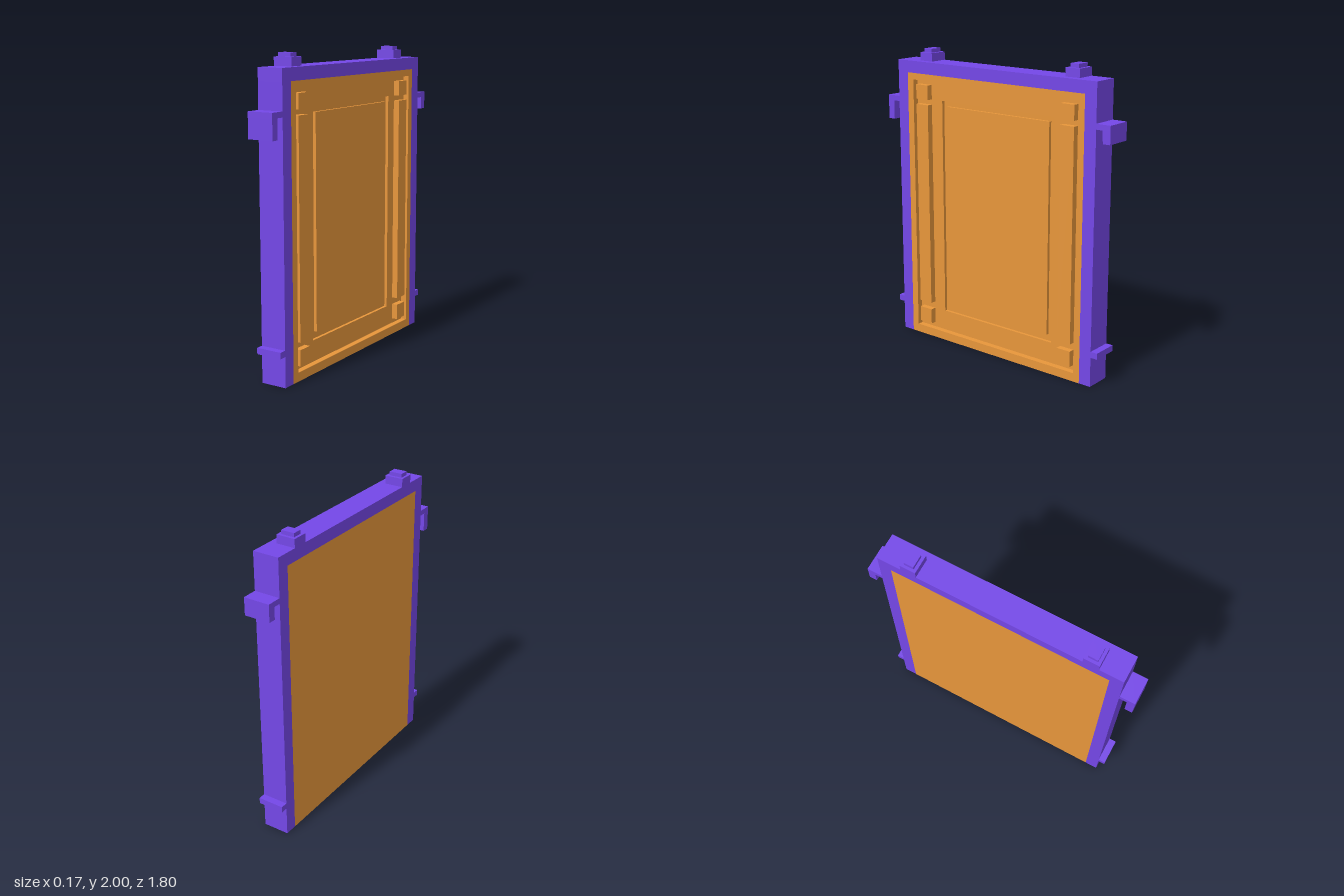
import * as THREE from 'three';

export function createModel() {
  const model = new THREE.Group();
  const purple = new THREE.MeshStandardMaterial({ color: 0x7a4bf2 });
  purple.name = 'purple frame';
  const ochre = new THREE.MeshStandardMaterial({ color: 0xf29d3e });
  ochre.name = 'ochre panel';

  const BACK = -0.0875, FACE = 0.0875; // thickness of the door along x
  const FLOOR = 0.047, GROOVE = 0.027; // recess floor and groove bottom
  const EDGE = 0.716; // half width of the panel

  // Box given by its limits on each axis
  function box(name, mat, [x0, x1], [y0, y1], [z0, z1]) {
    const mesh = new THREE.Mesh(new THREE.BoxGeometry(x1 - x0, y1 - y0, z1 - z0), mat);
    mesh.position.set((x0 + x1) / 2, (y0 + y1) / 2, (z0 + z1) / 2);
    mesh.name = name;
    model.add(mesh);
  }

  // Slab facing +x with a rectangular opening; outlines are y and z limits
  function slabWithOpening(name, mat, [x0, x1], outer, inner) {
    const trace = (path, [y0, y1, z0, z1]) => {
      path.moveTo(-z1, y0);
      path.lineTo(-z0, y0);
      path.lineTo(-z0, y1);
      path.lineTo(-z1, y1);
      path.closePath();
      return path;
    };
    const shape = trace(new THREE.Shape(), outer);
    shape.holes.push(trace(new THREE.Path(), inner));
    const geo = new THREE.ExtrudeGeometry(shape, { depth: x1 - x0, bevelEnabled: false });
    geo.rotateY(Math.PI / 2).translate(x0, 0, 0);
    const mesh = new THREE.Mesh(geo, mat);
    mesh.name = name;
    model.add(mesh);
  }

  // Panel layers: backing, grooved recess floor, raised rim
  const panel = [0, 1.84, -EDGE, EDGE];
  box('panelBacking', ochre, [BACK, GROOVE], [0, 1.84], [-EDGE, EDGE]);
  slabWithOpening('recessFloor', ochre, [GROOVE, FLOOR], panel, [0.197, 1.67, -0.465, 0.447]);
  slabWithOpening('panelRim', ochre, [FLOOR, FACE], panel, [0.057, 1.796, -0.67, 0.667]);
  box('centrePanel', ochre, [GROOVE, FLOOR], [0.243, 1.635], [-0.43, 0.405]);

  // Frame top, open at the bottom
  box('topRail', purple, [BACK, FACE], [1.84, 1.92], [-0.8, 0.8]);

  for (const s of [1, -1]) {
    const span = (a, b) => (s > 0 ? [a, b] : [-b, -a]);

    box('stile', purple, [BACK, FACE], [0, 1.84], span(EDGE, 0.8));

    // Raised blocks and strip beside the centre panel
    const column = span(0.54, 0.642);
    box('lowerBlock', ochre, [FLOOR, FACE], [0.09, 0.195], column);
    box('sideStrip', ochre, [FLOOR, FACE], [0.243, 1.635], column);
    box('upperBlock', ochre, [FLOOR, FACE], [1.67, 1.767], column);

    // Stepped studs on the top rail
    box('studBase', purple, [BACK, 0.04], [1.92, 1.975], span(0.54, 0.643));
    box('studCap', purple, [-0.07, 0.02], [1.975, 2], span(0.56, 0.623));

    // Hook with a thin web inside, longer on the front edge
    const hookBottom = s > 0 ? 1.51 : 1.557;
    box('hookArm', purple, [BACK, FACE], [1.637, 1.672], span(0.8, 0.9));
    box('hookTip', purple, [BACK, FACE], [hookBottom, 1.637], span(0.85, 0.9));
    box('hookWeb', purple, [-0.02, 0.02], [hookBottom, 1.637], span(0.8, 0.85));

    // Small ledge near the foot
    box('footLedge', purple, [BACK, FACE], [0.197, 0.237], span(0.8, 0.847));
  }

  return model;
}
